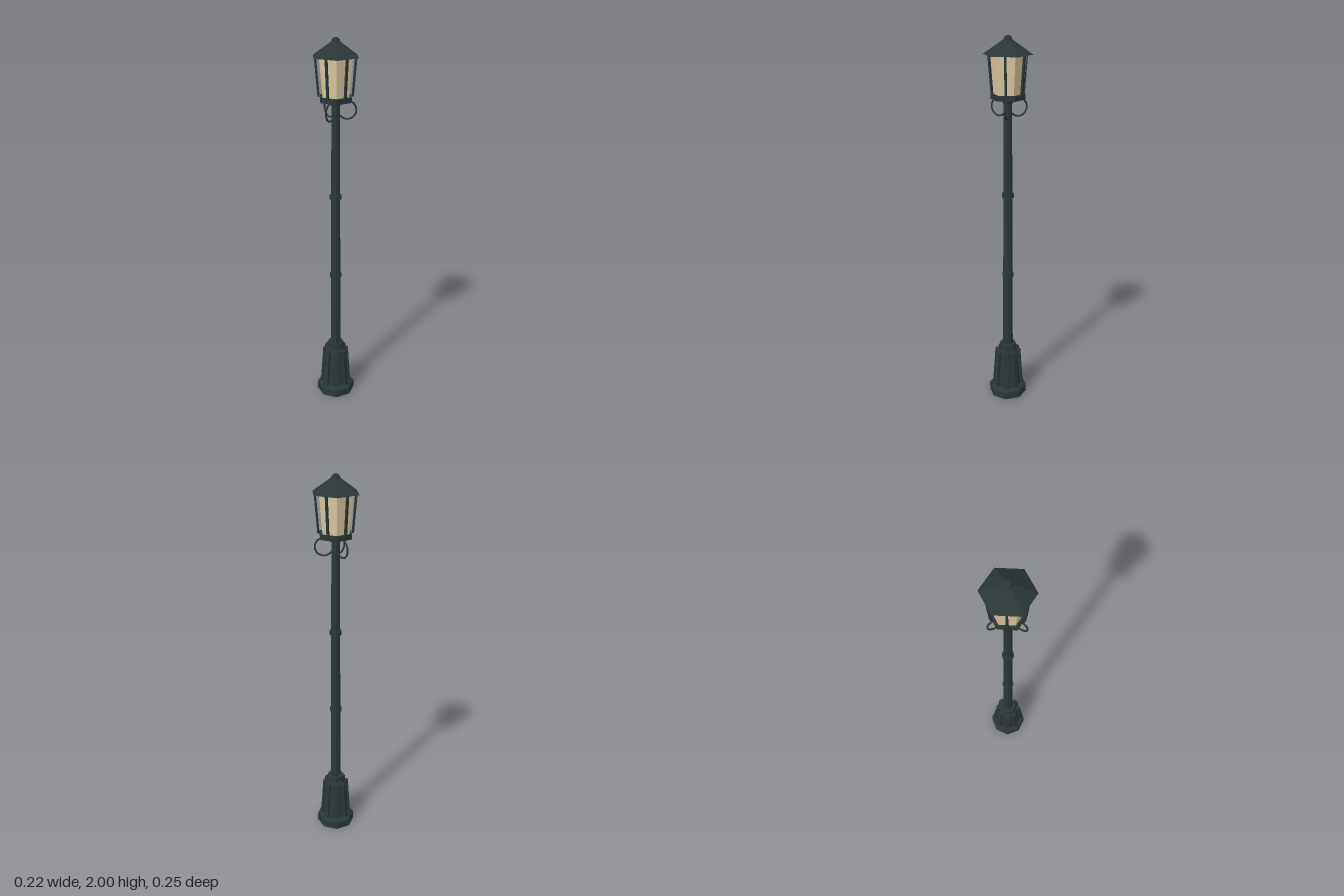
import * as THREE from 'three';

export function createModel() {
  const lamp = new THREE.Group();
  lamp.name = 'streetLamp';
  const iron = new THREE.MeshStandardMaterial({ name: 'darkIron', color: 0x2b3737, flatShading: true });
  const glass = new THREE.MeshStandardMaterial({ name: 'warmGlass', color: 0xdbc9a2, flatShading: true });

  const add = (name, geometry, material = iron, parent = lamp) => {
    const mesh = new THREE.Mesh(geometry, material);
    mesh.name = name;
    parent.add(mesh);
    return mesh;
  };
  // Faceted drum from y0 to y1
  const drum = (name, rBottom, rTop, y0, y1, sides = 8, material = iron) => {
    const mesh = add(name, new THREE.CylinderGeometry(rTop, rBottom, y1 - y0, sides), material);
    mesh.position.y = (y0 + y1) / 2;
    return mesh;
  };
  // Upright box leaning from radius rBottom to rTop, repeated around the axis
  const ring = (name, count, width, depth, rBottom, rTop, y0, y1, start = 0) => {
    for (let i = 0; i < count; i++) {
      const arm = new THREE.Group();
      arm.name = name;
      arm.rotation.y = start + (i / count) * Math.PI * 2;
      lamp.add(arm);
      const bar = add(name + 'Bar', new THREE.BoxGeometry(depth, Math.hypot(y1 - y0, rTop - rBottom), width), iron, arm);
      bar.position.set((rBottom + rTop) / 2, (y0 + y1) / 2, 0);
      bar.rotation.z = Math.atan2(rBottom - rTop, y1 - y0);
    }
  };

  // Plinth and fluted pedestal
  drum('plinth', 0.104, 0.104, 0, 0.042);
  drum('plinthBevel', 0.104, 0.09, 0.042, 0.055);
  drum('pedestal', 0.078, 0.06, 0.05, 0.268);
  ring('pedestalRib', 8, 0.024, 0.02, 0.075, 0.06, 0.05, 0.272);
  drum('pedestalCap', 0.056, 0.048, 0.265, 0.285);
  drum('pedestalCollar', 0.046, 0.046, 0.28, 0.312);

  // Tapered pole with two rings and a top collar
  drum('pole', 0.028, 0.021, 0.3, 1.69);
  for (const y of [0.737, 1.19]) drum('poleRing', 0.031, 0.031, y - 0.012, y + 0.012);
  drum('poleCollar', 0.026, 0.034, 1.672, 1.695);

  // Three curled brackets under the lantern
  const arc = THREE.MathUtils.degToRad(255);
  for (let i = 0; i < 3; i++) {
    const bracket = new THREE.Group();
    bracket.name = 'bracket';
    bracket.rotation.y = (i / 3) * Math.PI * 2;
    lamp.add(bracket);
    const curl = add('bracketCurl', new THREE.TorusGeometry(0.045, 0.0045, 6, 20, arc), iron, bracket);
    curl.position.set(0.058, 1.648, 0);
    curl.rotation.z = THREE.MathUtils.degToRad(-145);
  }

  // Six-sided lantern
  drum('lanternFloor', 0.088, 0.088, 1.692, 1.718, 6);
  drum('lanternGlass', 0.075, 0.093, 1.718, 1.912, 6, glass);
  ring('lanternPost', 6, 0.011, 0.011, 0.084, 0.1, 1.715, 1.912);
  drum('roof', 0.125, 0.024, 1.908, 1.978, 6);
  const finial = add('finial', new THREE.SphereGeometry(0.022, 8, 6));
  finial.position.y = 1.978;

  return lamp;
}
